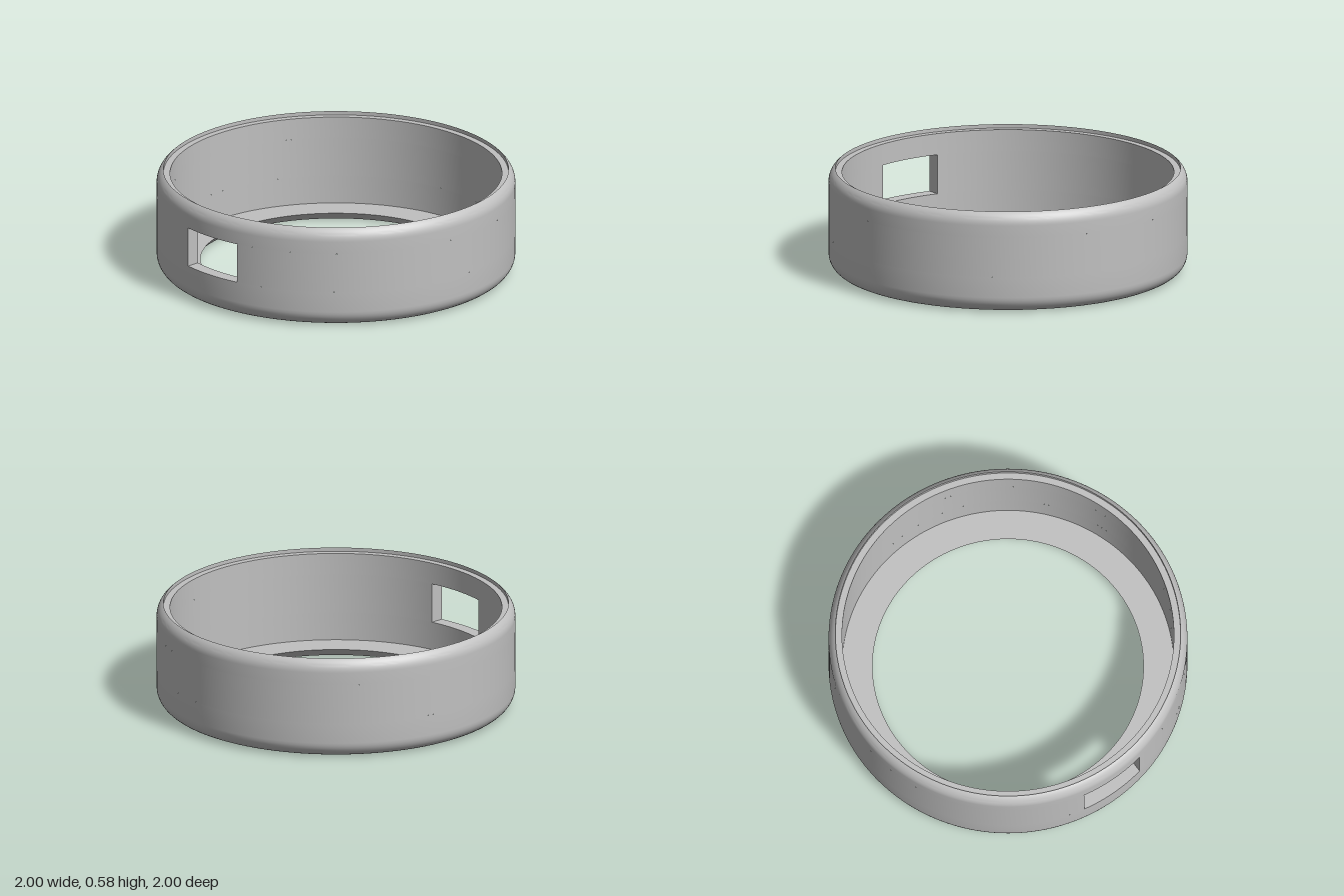
import * as THREE from 'three';
import { toCreasedNormals } from 'three/addons/utils/BufferGeometryUtils.js';

const OUTER = 1, INNER = 0.925, HOLE = 0.755;      // radii
const HEIGHT = 0.577, FILLET = 0.09, FLOOR = 0.047;
const WIN_X = 0.19, WIN_LOW = 0.208, WIN_HIGH = 0.433;
const SEGMENTS = 180;

// points along a rounded edge, angles measured from the outward direction
function fillet(cy, from, to, n = 9) {
  return Array.from({ length: n + 1 }, (_, i) => {
    const a = from + (to - from) * i / n;
    return [OUTER - FILLET + FILLET * Math.cos(a), cy + FILLET * Math.sin(a)];
  });
}

export function createModel() {
  const group = new THREE.Group();
  const grey = new THREE.MeshStandardMaterial({ color: 0xc0c0c0 });

  function add(name, geometry) {
    const mesh = new THREE.Mesh(geometry, grey);
    mesh.name = name;
    group.add(mesh);
    return mesh;
  }

  // revolve a profile, leaving out the given half angle around the front
  function revolve(name, profile, gap = 0) {
    const points = profile.map(([r, y]) => new THREE.Vector2(r, y));
    const lathe = new THREE.LatheGeometry(points, SEGMENTS, gap, Math.PI * 2 - gap * 2);
    return add(name, toCreasedNormals(lathe, 0.5));
  }

  // upper wall: rounded shoulder cut flat, then a shallow step inside the rim
  const cut = Math.acos(0.052 / FILLET);
  const shoulderY = HEIGHT - FILLET * Math.sin(cut);
  revolve('upperWall', [
    [OUTER, WIN_HIGH],
    ...fillet(shoulderY, 0, cut),
    [0.962, HEIGHT - 0.022],
    [INNER, HEIGHT - 0.022],
    [INNER, WIN_HIGH],
  ]);

  // lower wall with the inward floor flange, its chamfered hole and rounded base
  revolve('lowerWallAndFlange', [
    [INNER, WIN_LOW],
    [INNER, FLOOR],
    [HOLE, FLOOR],
    [0.8, 0],
    ...fillet(FILLET, -Math.PI / 2, 0),
    [OUTER, WIN_LOW],
  ]);

  // middle wall, interrupted by the window
  const outerGap = Math.asin(WIN_X / OUTER);
  const innerGap = Math.asin(WIN_X / INNER);
  revolve('outerMiddleWall', [[OUTER, WIN_LOW], [OUTER, WIN_HIGH]], outerGap);
  revolve('innerMiddleWall', [[INNER, WIN_HIGH], [INNER, WIN_LOW]], innerGap);

  // window sill and header: curved strips across the wall thickness
  const strip = new THREE.Shape();
  const q = Math.PI / 2;
  strip.absarc(0, 0, OUTER, q - outerGap, q + outerGap, false);
  strip.absarc(0, 0, INNER, q + innerGap, q - innerGap, true);
  const stripGeometry = new THREE.ShapeGeometry(strip, 16);
  add('windowHeader', stripGeometry.clone().rotateX(q)).position.y = WIN_HIGH;
  add('windowSill', stripGeometry.clone().rotateX(-q).rotateY(Math.PI)).position.y = WIN_LOW;

  // straight window sides
  const zIn = INNER * Math.cos(innerGap), zOut = OUTER * Math.cos(outerGap);
  for (const side of [-1, 1]) {
    const jamb = new THREE.PlaneGeometry(zOut - zIn, WIN_HIGH - WIN_LOW).rotateY(-side * q);
    add(side > 0 ? 'leftWindowSide' : 'rightWindowSide', jamb)
      .position.set(side * WIN_X, (WIN_LOW + WIN_HIGH) / 2, (zIn + zOut) / 2);
  }

  return group;
}
